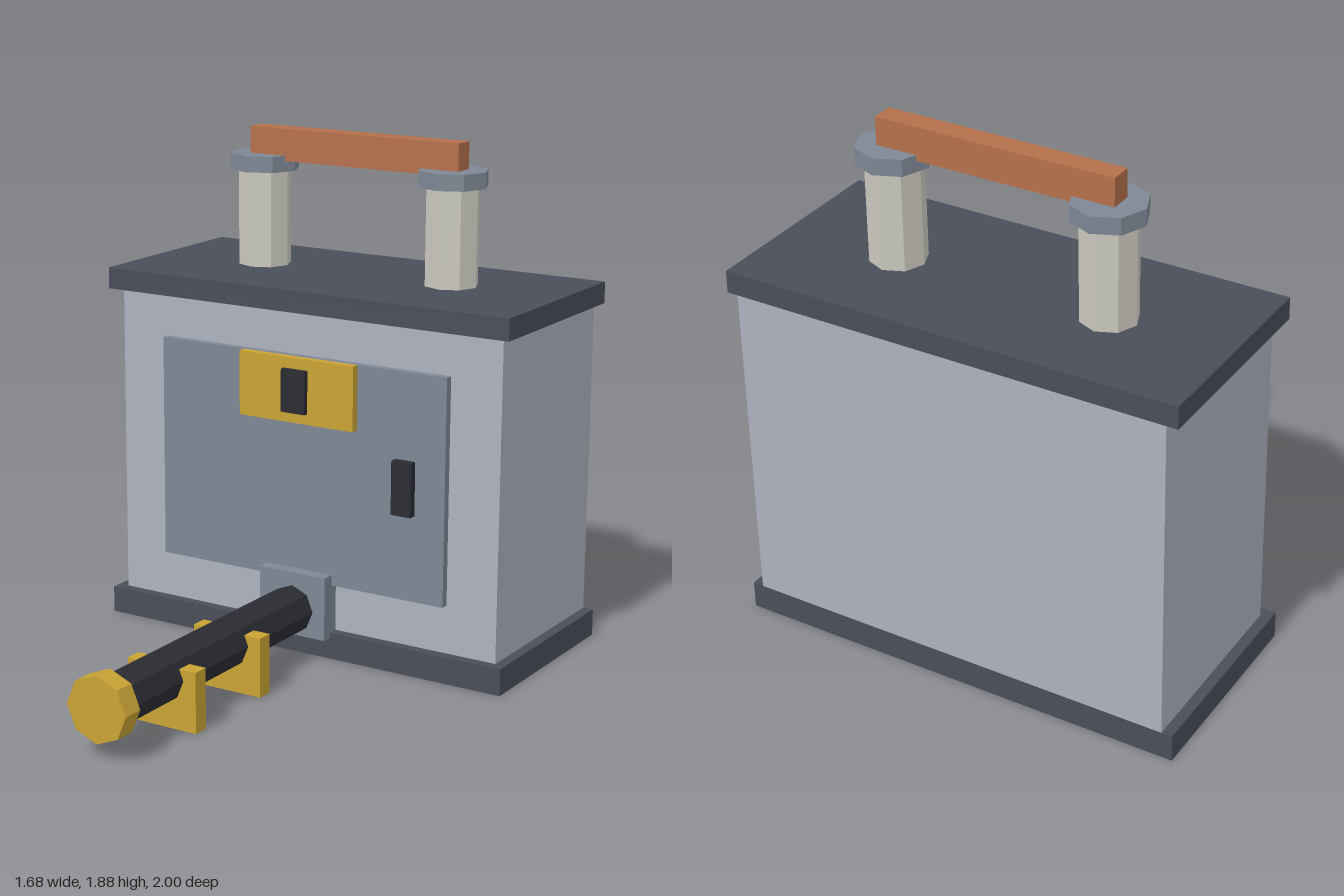
import * as THREE from 'three';

export function createModel() {
  const model = new THREE.Group();
  model.name = 'transformerCabinet';

  const material = (name, color) => {
    const m = new THREE.MeshStandardMaterial({ color });
    m.name = name;
    return m;
  };
  const lightGrey = material('light grey', 0xaeb2be);
  const slate = material('slate grey', 0x7e8794);
  const darkGrey = material('dark grey', 0x4a4e59);
  const yellow = material('yellow', 0xc9a334);
  const black = material('black', 0x2b2c33);
  const ceramic = material('ceramic', 0xcac8be);
  const copper = material('copper', 0xb5704b);

  const add = (name, geometry, mat, x, y, z) => {
    const mesh = new THREE.Mesh(geometry, mat);
    mesh.name = name;
    mesh.position.set(x, y, z);
    model.add(mesh);
  };
  // Box given by its minimum and maximum on each axis
  const box = (name, mat, [x0, x1], [y0, y1], [z0, z1]) =>
    add(name, new THREE.BoxGeometry(x1 - x0, y1 - y0, z1 - z0), mat,
      (x0 + x1) / 2, (y0 + y1) / 2, (z0 + z1) / 2);
  // Faceted eight-sided prism with corners on the axes
  const octagon = (radius, length) =>
    new THREE.CylinderGeometry(radius, radius, length, 8).toNonIndexed();
  const prism = (name, mat, radius, length, x, y, z, alongZ = false) => {
    const g = octagon(radius, length);
    if (alongZ) g.rotateX(Math.PI / 2);
    g.computeVertexNormals();
    add(name, g, mat, x, y, z);
  };

  // Cabinet, flush at the back
  box('base', darkGrey, [-0.84, 0.84], [0, 0.1], [-1, -0.24]);
  box('body', lightGrey, [-0.8, 0.8], [0.1, 1.28], [-1, -0.28]);
  box('lid', darkGrey, [-0.84, 0.84], [1.28, 1.36], [-1, -0.24]);

  // Door with its gauge and handle
  box('door', slate, [-0.6, 0.6], [0.28, 1.12], [-0.28, -0.25]);
  box('gaugePlate', yellow, [-0.24, 0.24], [0.88, 1.12], [-0.25, -0.22]);
  box('gaugeWindow', black, [-0.05, 0.05], [0.92, 1.08], [-0.22, -0.2]);
  box('doorHandle', black, [0.4, 0.48], [0.6, 0.8], [-0.25, -0.22]);

  // Insulator posts joined by a bar
  for (const x of [-0.4, 0.4]) {
    prism('insulator', ceramic, 0.1, 0.36, x, 1.54, -0.64);
    prism('insulatorCap', slate, 0.13, 0.06, x, 1.75, -0.64);
  }
  box('busBar', copper, [-0.44, 0.44], [1.76, 1.88], [-0.68, -0.6]);

  // Cable leaving the front, on two supports
  box('cableSocket', slate, [-0.14, 0.14], [0.08, 0.32], [-0.28, -0.2]);
  prism('cable', black, 0.09, 1.14, 0, 0.18, 0.36, true);
  prism('cableEnd', yellow, 0.12, 0.08, 0, 0.18, 0.96, true);
  for (const z of [0.2, 0.6]) {
    box('cableSupport', yellow, [-0.14, 0.14], [0, 0.22], [z - 0.03, z + 0.03]);
  }

  return model;
}
